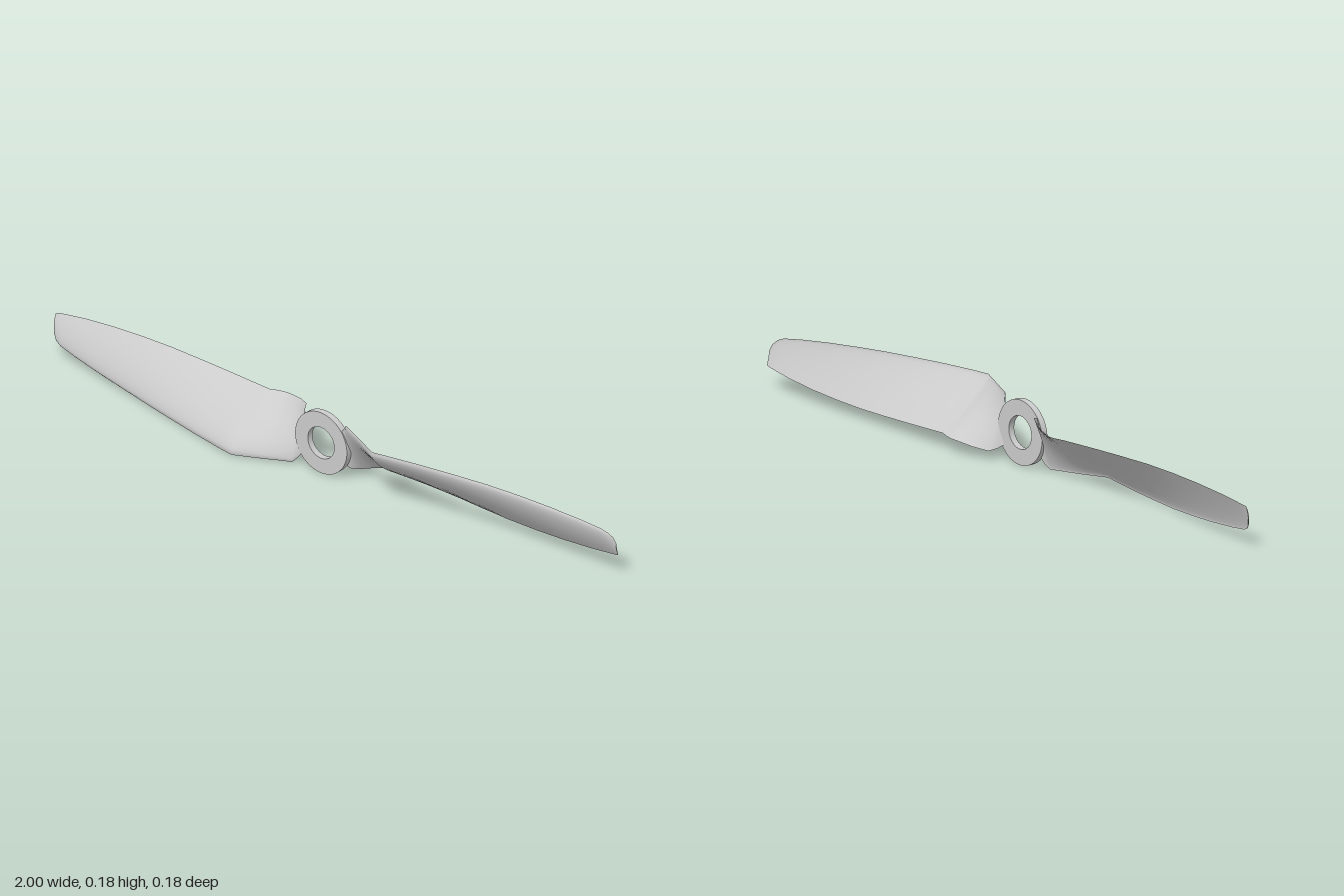
import * as THREE from 'three';

const HUB_Y = 0.092;

// Blade sections: x, leading edge (y, z), trailing edge (y, z), bulge as a share of the chord
const STATIONS = [
  [0.060, 0.137, -0.002, 0.047, -0.010, 0.03],
  [0.083, 0.165, 0.001, 0.030, -0.025, 0.04],
  [0.095, 0.180, 0.012, 0.024, -0.047, 0.06],
  [0.135, 0.181, 0.030, 0.032, -0.070, 0.08],
  [0.175, 0.182, 0.049, 0.040, -0.084, 0.09],
  [0.200, 0.182, 0.061, 0.043, -0.089, 0.10],
  [0.225, 0.182, 0.073, 0.044, -0.085, 0.10],
  [0.250, 0.182, 0.085, 0.045, -0.076, 0.10],
  [0.300, 0.183, 0.076, 0.043, -0.075, 0.10],
  [0.400, 0.183, 0.057, 0.039, -0.074, 0.10],
  [0.500, 0.181, 0.038, 0.036, -0.073, 0.10],
  [0.600, 0.178, 0.019, 0.034, -0.072, 0.10],
  [0.700, 0.172, 0.002, 0.036, -0.071, 0.10],
  [0.800, 0.164, -0.013, 0.041, -0.070, 0.10],
  [0.900, 0.153, -0.028, 0.050, -0.068, 0.10],
  [0.960, 0.144, -0.037, 0.058, -0.066, 0.10],
  [0.980, 0.136, -0.042, 0.061, -0.065, 0.10],
  [0.993, 0.122, -0.050, 0.063, -0.064, 0.10],
  [1.000, 0.102, -0.056, 0.065, -0.063, 0.10],
];
const ACROSS = 16;

// Smooth surface through a grid of points
function gridGeometry(point, nu, nv, flip = false) {
  const pos = [], idx = [];
  for (let i = 0; i <= nu; i++) for (let j = 0; j <= nv; j++) pos.push(...point(i, j));
  for (let i = 0; i < nu; i++) {
    for (let j = 0; j < nv; j++) {
      const a = i * (nv + 1) + j, b = a + 1, c = a + nv + 1, d = c + 1;
      if (flip) idx.push(a, c, b, b, c, d);
      else idx.push(a, b, c, b, d, c);
    }
  }
  const g = new THREE.BufferGeometry();
  g.setAttribute('position', new THREE.Float32BufferAttribute(pos, 3));
  g.setIndex(idx);
  g.computeVertexNormals();
  return g;
}

// Point on a section: the front bulges fully, the back follows it more weakly
function sectionPoint(i, j, bulgeShare) {
  const [x, ly, lz, ty, tz, bulge] = STATIONS[i];
  const s = (j / ACROSS) ** 1.5; // finer near the rounded leading edge
  const dy = ty - ly, dz = tz - lz;
  const off = bulge * bulgeShare * 2.6 * Math.sqrt(s) * (1 - s);
  return [x, ly + dy * s + dz * off - HUB_Y, lz + dz * s - dy * off];
}

function createBlade(name, material) {
  const blade = new THREE.Group();
  blade.name = name;
  const n = STATIONS.length - 1;
  const add = (part, geometry) => {
    const mesh = new THREE.Mesh(geometry, material);
    mesh.name = part;
    blade.add(mesh);
  };
  add('bladeFront', gridGeometry((i, j) => sectionPoint(i, j, 1), n, ACROSS));
  add('bladeBack', gridGeometry((i, j) => sectionPoint(i, j, 0.35), n, ACROSS, true));
  add('bladeTip', gridGeometry((i, j) => sectionPoint(n, j, i ? 0.35 : 1), 1, ACROSS));
  add('bladeRoot', gridGeometry((i, j) => sectionPoint(0, j, i ? 0.35 : 1), 1, ACROSS, true));
  return blade;
}

export function createModel() {
  const model = new THREE.Group();
  model.name = 'propeller';
  const material = new THREE.MeshStandardMaterial({ color: 0xcccccc });

  // Hub ring with the shaft hole
  const ring = new THREE.Shape().absarc(0, 0, HUB_Y, 0, Math.PI * 2);
  ring.holes.push(new THREE.Path().absarc(0, 0, 0.047, 0, Math.PI * 2, true));
  const hub = new THREE.Mesh(
    new THREE.ExtrudeGeometry(ring, { depth: 0.019, bevelEnabled: false, curveSegments: 48 }),
    material
  );
  hub.name = 'hub';
  hub.position.set(0, HUB_Y, -0.015);
  model.add(hub);

  // Two blades, half a turn apart
  ['leftBlade', 'rightBlade'].forEach((name, k) => {
    const blade = createBlade(name, material);
    blade.position.y = HUB_Y;
    blade.rotation.z = k * Math.PI;
    model.add(blade);
  });
  return model;
}
